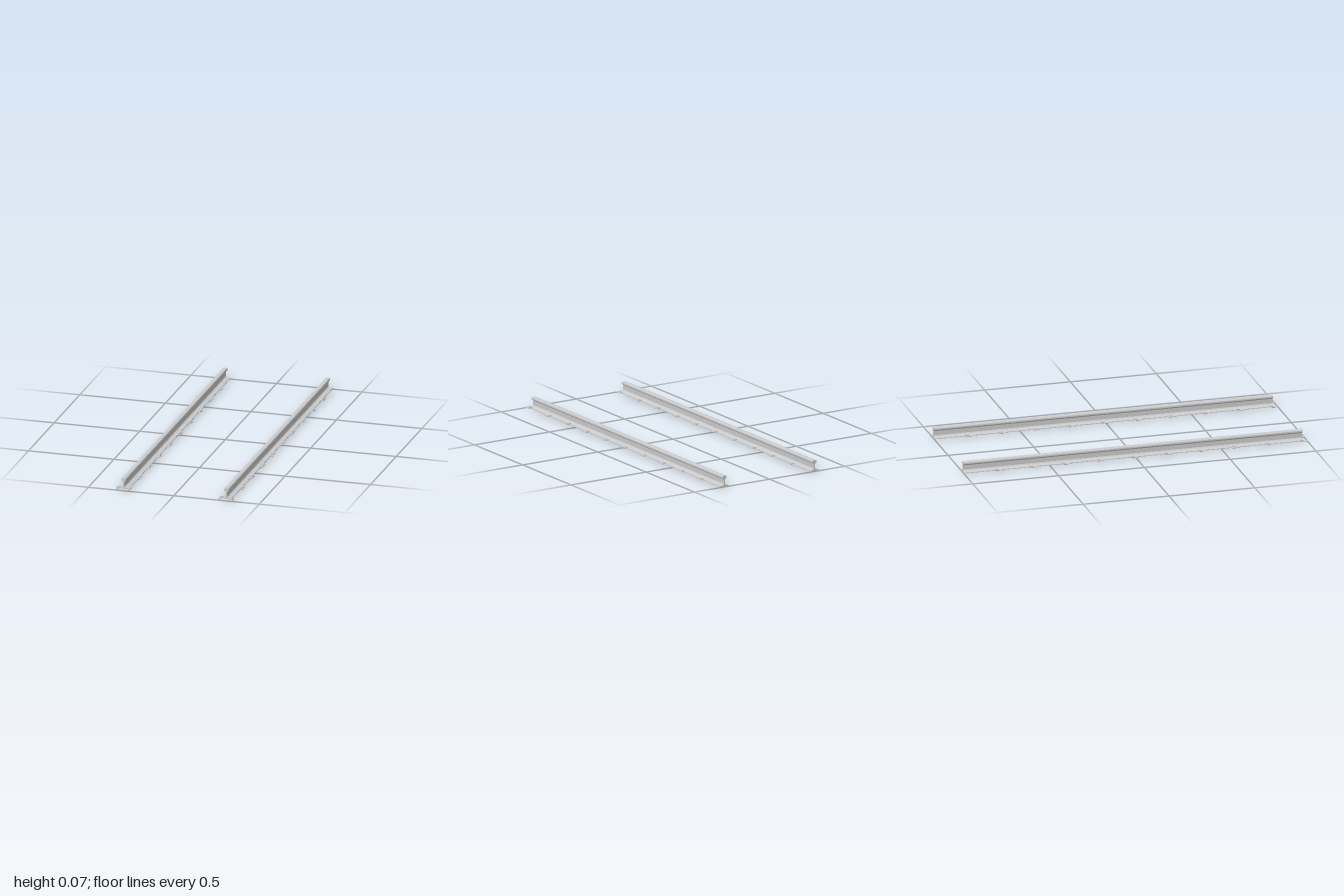
import * as THREE from 'three';

export function createModel() {
  const model = new THREE.Group();
  const steel = new THREE.MeshStandardMaterial({ color: 0xcccccc, flatShading: true });
  const V = (x, y, z) => new THREE.Vector3(x, y, z);
  const gauge = 0.3, backEnd = -1, frontEnd = 0.976;

  // Flat-bottomed rail section: half outline from the foot up to the crown
  const half = [
    [0.029, 0.003], [0.029, 0.007], [0.012, 0.011], [0.006, 0.013], [0.0035, 0.018],
    [0.0035, 0.043], [0.006, 0.048], [0.0125, 0.05], [0.0138, 0.053],
    [0.0135, 0.06], [0.011, 0.064], [0.006, 0.0655],
  ];
  const outline = [...half, ...half.map(([x, y]) => [-x, y]).reverse()];
  const section = new THREE.Shape(outline.map(([x, y]) => new THREE.Vector2(x, y)));
  const railGeometry = new THREE.ExtrudeGeometry(section, { depth: frontEnd - backEnd, bevelEnabled: false });
  railGeometry.translate(0, 0, backEnd);

  // Spring clip: a bent rod with its toe on the foot and its heel in the shoulder
  const corners = [
    V(0.023, 0.0105, -0.021), V(0.031, 0.01, -0.0225), V(0.0415, 0.007, -0.0225), V(0.0415, 0.007, 0),
    V(0.0415, 0.007, 0.0225), V(0.0325, 0.006, 0.0225), V(0.0325, 0.005, -0.008),
  ];
  const bend = new THREE.CurvePath();
  for (let i = 1; i < corners.length; i++) bend.add(new THREE.LineCurve3(corners[i - 1], corners[i]));
  const clipGeometry = new THREE.TubeGeometry(bend, 40, 0.0025, 6);
  const toeGeometry = new THREE.BoxGeometry(0.009, 0.004, 0.012).translate(0.0265, 0.01, -0.018);
  const shoulderGeometry = new THREE.BoxGeometry(0.006, 0.012, 0.014).translate(0.032, 0.006, -0.007);

  const add = (parent, geometry, name) => {
    const mesh = new THREE.Mesh(geometry, steel);
    mesh.name = name;
    parent.add(mesh);
  };

  for (const side of [-1, 1]) {
    const track = new THREE.Group();
    track.name = side > 0 ? 'leftRail' : 'rightRail';
    track.position.x = side * gauge;
    add(track, railGeometry, 'rail');

    // Ten pairs of fastenings, one on each edge of the foot
    for (let i = 0; i < 10; i++) {
      for (const edge of [-1, 1]) {
        const fastening = new THREE.Group();
        fastening.name = 'fastening';
        add(fastening, clipGeometry, 'springClip');
        add(fastening, toeGeometry, 'clipToe');
        add(fastening, shoulderGeometry, 'shoulder');
        fastening.scale.x = edge;
        fastening.position.z = 0.975 - i * 0.1972;
        track.add(fastening);
      }
    }
    model.add(track);
  }
  return model;
}
